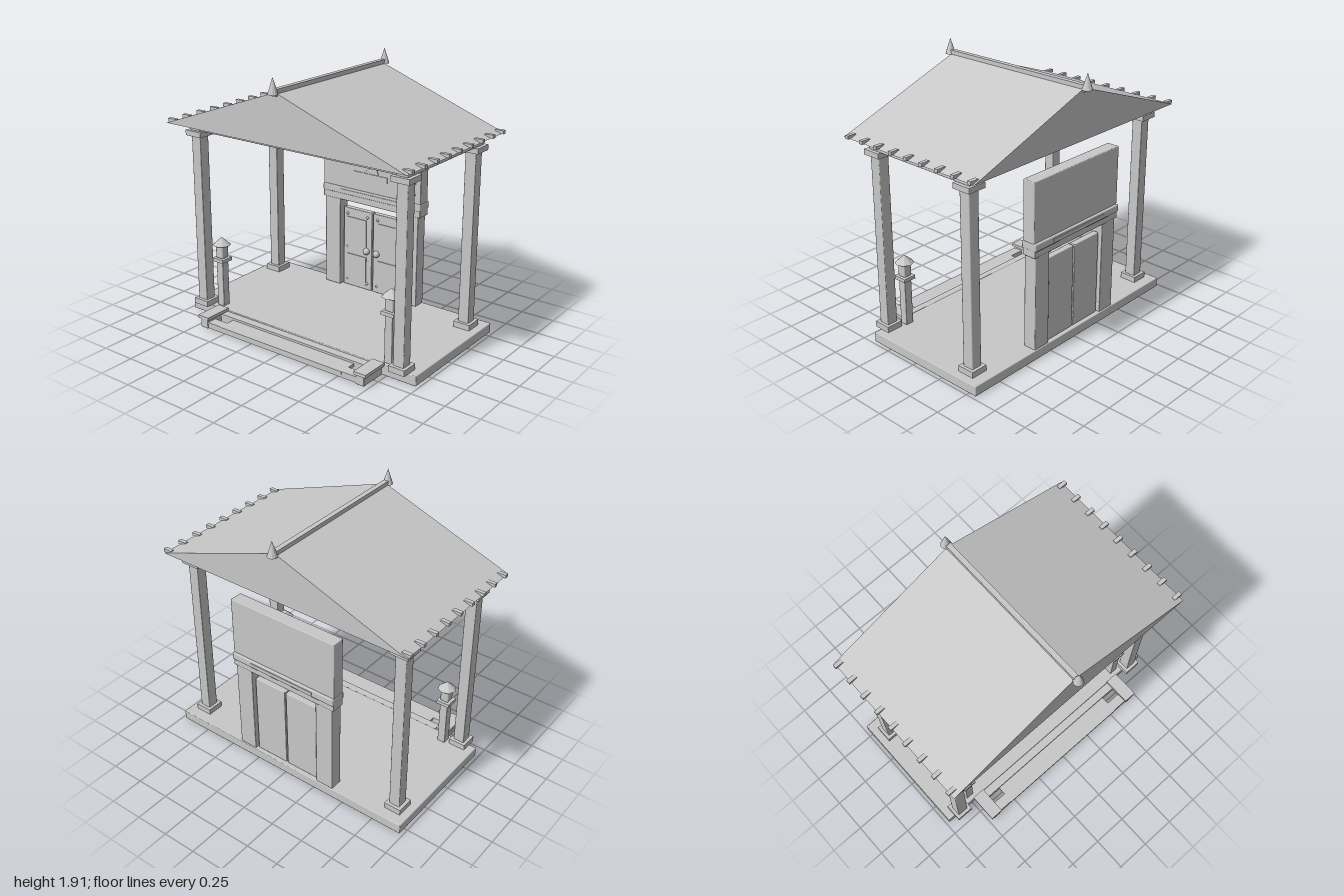
import * as THREE from 'three';
import { RoundedBoxGeometry } from 'three/addons/geometries/RoundedBoxGeometry.js';

export function createModel() {
  const model = new THREE.Group();
  model.name = 'porch';
  const stone = new THREE.MeshStandardMaterial({ color: 0xc8c8c8 });
  stone.name = 'light grey';

  function add(name, geometry, x = 0, y = 0, z = 0) {
    const mesh = new THREE.Mesh(geometry, stone);
    mesh.name = name;
    mesh.position.set(x, y, z);
    model.add(mesh);
    return mesh;
  }
  // Box from its lower and upper limits on each axis, bevelled if asked
  function box(name, [x0, x1], [y0, y1], [z0, z1], bevel = 0) {
    const size = [x1 - x0, y1 - y0, z1 - z0];
    const geometry = bevel
      ? new RoundedBoxGeometry(...size, 1, bevel)
      : new THREE.BoxGeometry(...size);
    return add(name, geometry, (x0 + x1) / 2, (y0 + y1) / 2, (z0 + z1) / 2);
  }
  function cone(name, radius, height, sides, x, y, z) {
    const geometry = new THREE.ConeGeometry(radius, height, sides).toNonIndexed();
    geometry.computeVertexNormals();
    return add(name, geometry, x, y + height / 2, z);
  }
  // Limits around a centre, mirrored limits for one side
  const around = (c, w) => [c - w / 2, c + w / 2];
  const side = (s, a, b) => (s > 0 ? [a, b] : [-b, -a]);

  // Platform and steps
  box('platform', [-0.977, 0.977], [0, 0.073], [-0.56, 0.41], 0.006);
  box('upperStep', [-0.65, 0.65], [0.005, 0.064], [0.41, 0.47]);
  box('lowerStep', [-0.65, 0.65], [0.005, 0.048], [0.53, 0.605]);
  box('stepTread', [-0.535, 0.535], [0.027, 0.048], [0.47, 0.53]);
  box('stepStrip', [-0.535, 0.535], [0.027, 0.048], [0.604, 0.609]);

  // Columns, lantern posts and step cheeks
  for (const s of [-1, 1]) {
    box('stepCheek', side(s, 0.65, 0.715), [0, 0.07], [0.41, 0.61], 0.004);
    box('stepCheekCap', side(s, 0.637, 0.732), [0.067, 0.09], [0.405, 0.617]);

    for (const z of [0.396, -0.416]) {
      const x = s * 0.858;
      box('columnFoot', around(x, 0.125), [0.073, 0.115], around(z, 0.127));
      box('column', around(x, 0.082), [0.11, 1.36], around(z, 0.082), 0.006);
      box('columnCapital', around(x, 0.138), [1.352, 1.39], around(z, 0.138));
    }

    const x = s * 0.737, z = 0.345;
    box('lanternPost', around(x, 0.06), [0.073, 0.42], around(z, 0.06), 0.004);
    box('lanternShelf', around(x, 0.098), [0.417, 0.443], around(z, 0.098));
    box('lantern', around(x, 0.064), [0.443, 0.545], around(z, 0.064), 0.008);
    cone('lanternRoof', 0.066, 0.058, 8, x, 0.542, z);
  }

  // Beams on the columns
  for (const s of [-1, 1])
    box('sideBeam', side(s, 0.815, 0.902), [1.388, 1.458], [-0.465, 0.443], 0.005);
  for (const z of [0.396, -0.416])
    box('crossBeam', [-0.9, 0.9], [1.39, 1.452], around(z, 0.08), 0.005);

  // Solid gable roof
  const gable = new THREE.Shape([
    new THREE.Vector2(-0.985, 1.457),
    new THREE.Vector2(0.985, 1.457),
    new THREE.Vector2(0, 1.808),
  ]);
  add('roof', new THREE.ExtrudeGeometry(gable, { depth: 1.174, bevelEnabled: false }), 0, 0, -0.587);
  box('ridge', [-0.018, 0.018], [1.785, 1.831], [-0.6, 0.6]);
  for (const z of [-0.609, 0.609]) cone('finial', 0.036, 0.11, 10, 0, 1.8, z);

  // Rafter ends along the eaves
  for (const s of [-1, 1])
    for (let i = 0; i < 9; i++)
      box('rafterEnd', side(s, 0.935, 1), [1.457, 1.481], around(-0.01 + (i - 4) * 0.1375, 0.028));

  // Doorway: jambs, lintel and sign board
  for (const s of [-1, 1])
    box('doorJamb', side(s, 0.275, 0.412), [0.073, 0.768], [-0.555, -0.46], 0.006);
  box('lintel', [-0.428, 0.428], [0.763, 0.825], [-0.562, -0.457], 0.006);
  box('lintelCap', [-0.43, 0.43], [0.812, 0.866], [-0.572, -0.452], 0.008);
  box('lintelStrip', [-0.26, 0.26], [0.83, 0.85], [-0.453, -0.447]);
  box('lintelBackStrip', [-0.26, 0.26], [0.83, 0.85], [-0.577, -0.571]);
  box('signBoard', [-0.428, 0.428], [0.862, 1.292], [-0.555, -0.46], 0.006);

  // Sign panel with notched upper corners
  const panel = new THREE.Shape();
  const outline = [[-0.385, 0.925], [0.385, 0.925], [0.385, 1.23], [0.365, 1.23], [0.365, 1.247],
    [-0.365, 1.247], [-0.365, 1.23], [-0.385, 1.23]];
  panel.setFromPoints(outline.map(([x, y]) => new THREE.Vector2(x, y)));
  const plate = (shape, depth) => new THREE.ExtrudeGeometry(shape, { depth, bevelEnabled: false });
  add('signPanel', plate(panel, 0.004), 0, 0, -0.461);

  // Star and the bar under it
  const star = new THREE.Shape();
  for (let i = 0; i < 10; i++) {
    const r = i % 2 ? 0.049 : 0.125;
    const a = Math.PI / 2 + (i * Math.PI) / 5;
    star[i ? 'lineTo' : 'moveTo'](r * Math.cos(a), r * Math.sin(a));
  }
  star.closePath();
  add('star', plate(star, 0.006), 0, 1.104, -0.458);
  box('starBar', [-0.147, 0.147], [0.967, 1.01], [-0.458, -0.45]);

  // Double doors with panels, studs and knobs
  const doorFront = -0.49;
  for (const s of [-1, 1]) {
    box('door', side(s, 0.005, 0.263), [0.075, 0.7], [-0.535, doorFront], 0.006);
    for (const [y0, y1] of [[0.385, 0.63], [0.11, 0.335]])
      box('doorPanel', side(s, 0.053, 0.225), [y0, y1], [doorFront - 0.001, doorFront + 0.007]);
    for (const x of [0.045, 0.225])
      for (const y of [0.125, 0.39, 0.655])
        add('doorStud', new THREE.SphereGeometry(0.011, 10, 6), s * x, y, doorFront);
    add('doorKnob', new THREE.SphereGeometry(0.026, 16, 10), s * 0.045, 0.39, doorFront + 0.012);
  }
  return model;
}
